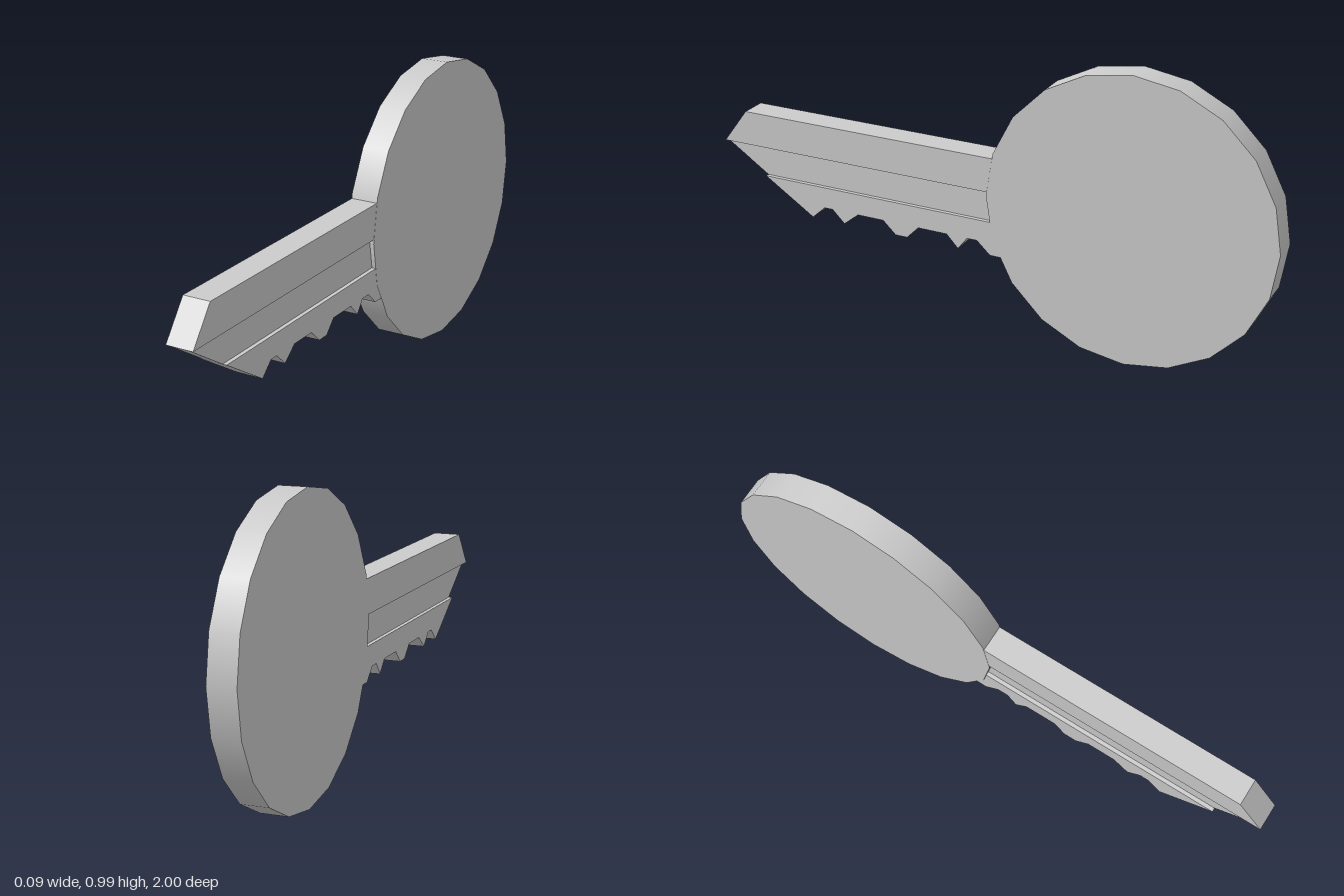
import * as THREE from 'three';

const material = new THREE.MeshStandardMaterial({ color: 0xcccccc });

// Flat slab from a side outline of [z, y] points, centred across x
function slab(name, outline, thickness) {
  const shape = new THREE.Shape(outline.map(([z, y]) => new THREE.Vector2(z, y)));
  const geometry = new THREE.ExtrudeGeometry(shape, { depth: thickness, bevelEnabled: false });
  geometry.translate(0, 0, -thickness / 2);
  geometry.rotateY(-Math.PI / 2);
  const mesh = new THREE.Mesh(geometry, material);
  mesh.name = name;
  return mesh;
}

export function createModel() {
  const key = new THREE.Group();
  key.name = 'key';
  const radius = 0.495, thickness = 0.094;

  // Round twenty-sided handle
  const handleGeometry = new THREE.CylinderGeometry(radius, radius, thickness + 0.001, 20);
  handleGeometry.rotateZ(Math.PI / 2);
  const handle = new THREE.Mesh(handleGeometry, material);
  handle.name = 'handle';
  handle.position.set(0, radius, -0.505);
  key.add(handle);

  const blade = new THREE.Group();
  blade.name = 'blade';

  // Upper spine with slanted tip
  blade.add(slab('bladeSpine', [
    [-0.012, 0.51], [1, 0.51], [0.91, 0.63], [-0.031, 0.63],
  ], thickness));

  // Thinner core leaves a groove on both sides
  blade.add(slab('grooveCore', [
    [-0.024, 0.405], [0.84, 0.405], [1, 0.51], [-0.012, 0.51],
  ], 0.066));

  // Toothed lower edge
  blade.add(slab('bladeTeeth', [
    [-0.024, 0.405], [-0.034, 0.342], [-0.064, 0.286], [-0.024, 0.286],
    [0.024, 0.33], [0.06, 0.33], [0.094, 0.286], [0.136, 0.33],
    [0.243, 0.33], [0.286, 0.286], [0.33, 0.286], [0.377, 0.33],
    [0.475, 0.33], [0.53, 0.286], [0.575, 0.33], [0.607, 0.33],
    [0.655, 0.286], [0.84, 0.405],
  ], thickness));

  key.add(blade);
  return key;
}
